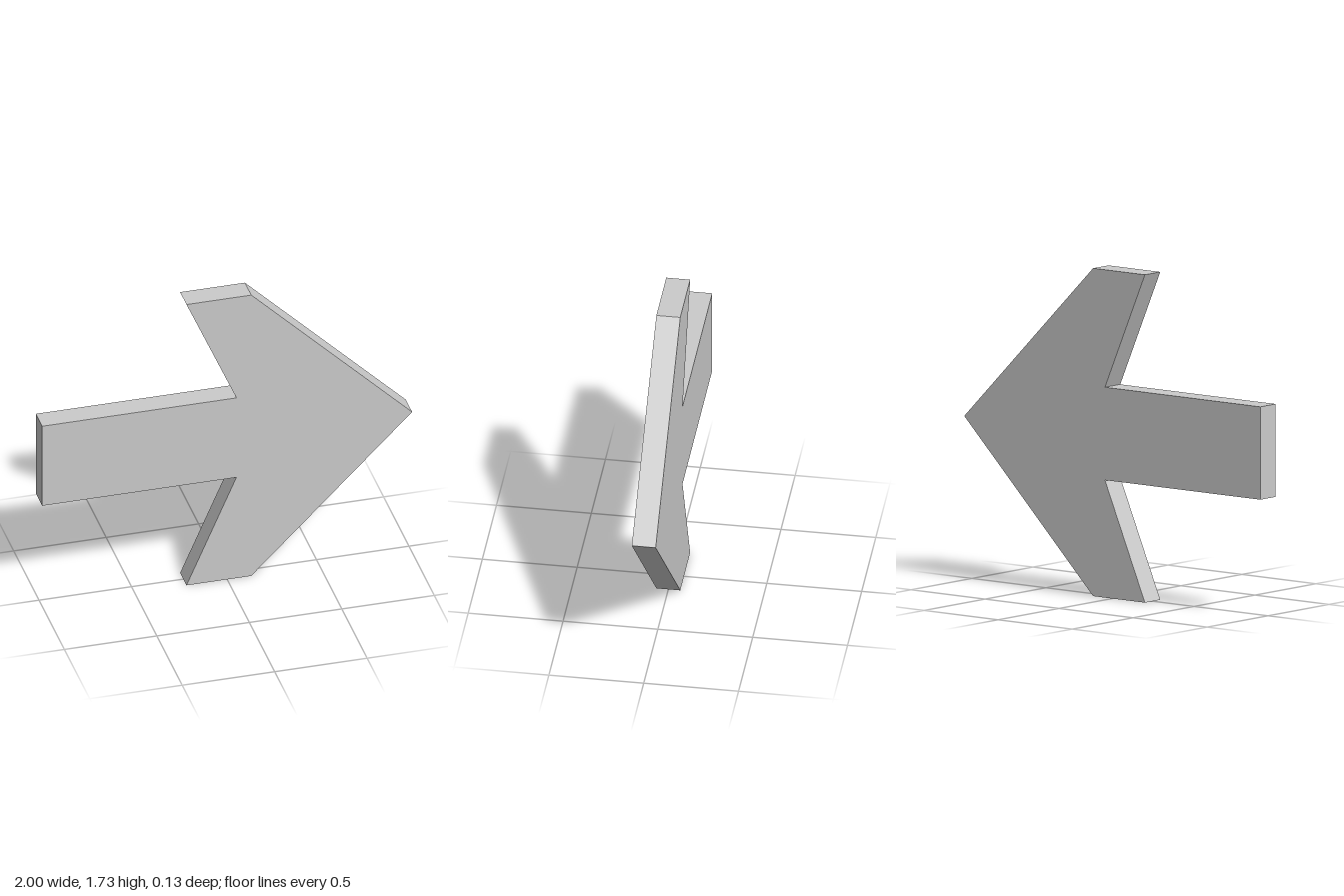
import * as THREE from 'three';

const DEPTH = 0.126;
const MID = 0.865; // height of the axis of symmetry

export function createModel() {
  const group = new THREE.Group();
  group.name = 'arrowSign';

  // Upper half of the outline from tail to tip, as [x, distance from axis]
  const half = [[-1, 0.245], [0.05, 0.245], [-0.22, MID], [0.13, MID]];
  const upper = half.map(([x, d]) => new THREE.Vector2(x, MID + d));
  const lower = half.map(([x, d]) => new THREE.Vector2(x, MID - d)).reverse();
  const outline = new THREE.Shape([...upper, new THREE.Vector2(1, MID), ...lower]);

  // Flat plate with sharp edges, centred in depth
  const geometry = new THREE.ExtrudeGeometry(outline, { depth: DEPTH, bevelEnabled: false });
  geometry.translate(0, 0, -DEPTH / 2);

  const arrow = new THREE.Mesh(
    geometry,
    new THREE.MeshStandardMaterial({ color: 0xcccccc, flatShading: true })
  );
  arrow.name = 'arrowPlate';
  group.add(arrow);
  return group;
}
